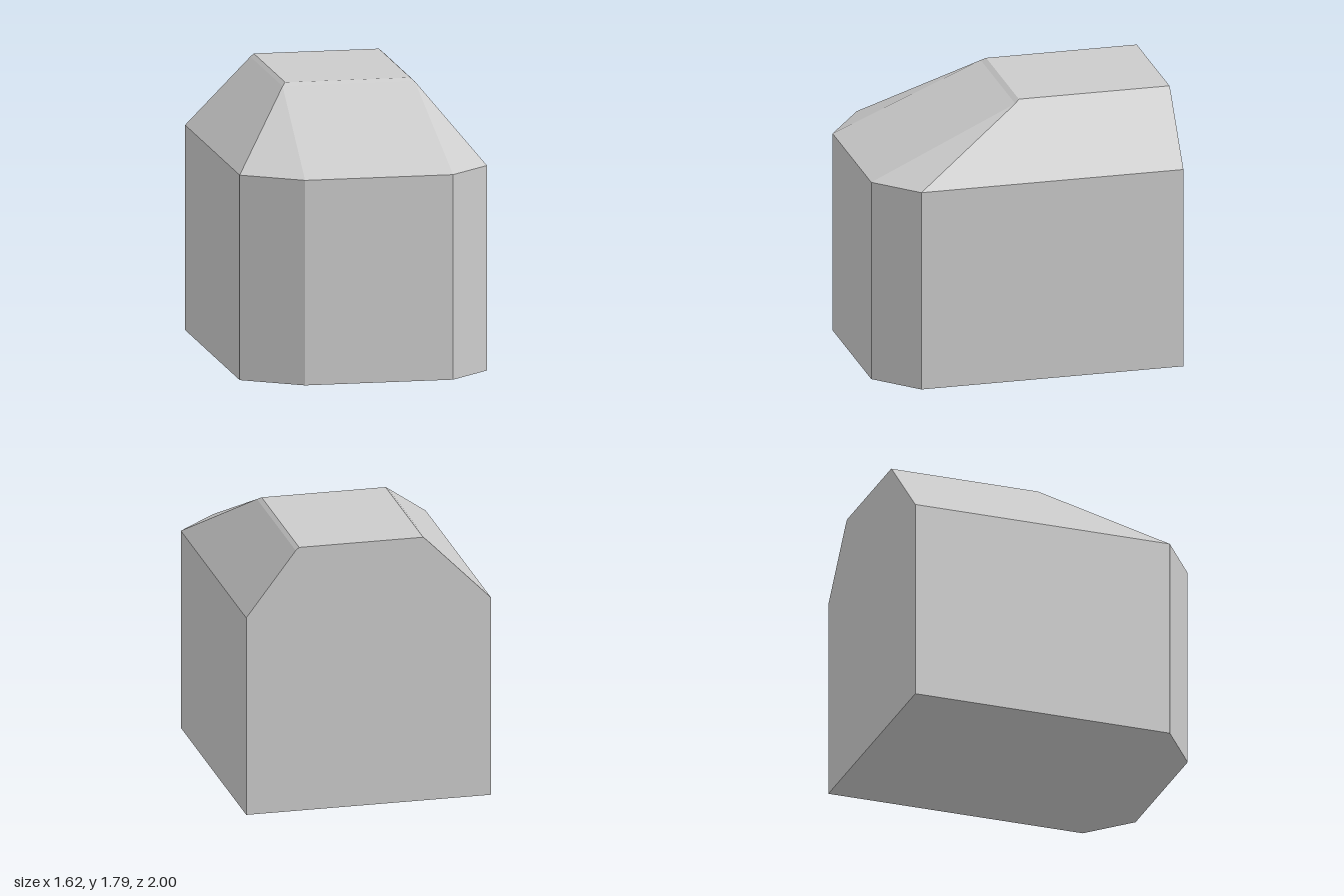
import * as THREE from 'three';

// Horizontal cross-sections, ordered back -x, around the front, to back +x
const plan = [[-0.81, -1], [-0.81, 0.74], [-0.435, 1], [0.535, 1], [0.81, 0.74], [0.81, -1]];
const ring = (pts, y) => pts.map(([x, z]) => new THREE.Vector3(x, y, z));
const ridgePlan = (x0, x1, z) => [[x0, -1], [x0, z], [x0, z], [x1, z], [x1, z], [x1, -1]];

const base = ring(plan, 0);
const eaves = ring(plan, 1.34);
const ridgeEdge = ring(ridgePlan(-0.383, 0.483, 0.03), 1.77);
const ridge = ring(ridgePlan(-0.36, 0.46, 0), 1.79);

// Flat polygons, each split into a fan, zero-area triangles dropped
function facets(polygons) {
  const pos = [];
  const tri = new THREE.Triangle();
  for (const p of polygons) {
    for (let i = 1; i < p.length - 1; i++) {
      tri.set(p[0], p[i], p[i + 1]);
      if (tri.getArea() < 1e-6) continue;
      for (const v of [tri.a, tri.b, tri.c]) pos.push(v.x, v.y, v.z);
    }
  }
  const geometry = new THREE.BufferGeometry();
  geometry.setAttribute('position', new THREE.Float32BufferAttribute(pos, 3));
  geometry.computeVertexNormals();
  return geometry;
}

// Quads joining two rings, including the back side
const loft = (low, high) => low.map((p, i) => {
  const j = (i + 1) % low.length;
  return [p, low[j], high[j], high[i]];
});

export function createModel() {
  const group = new THREE.Group();
  group.name = 'building';
  const material = new THREE.MeshStandardMaterial({ color: 0xcccccc, flatShading: true });
  const add = (name, polygons) => {
    const mesh = new THREE.Mesh(facets(polygons), material);
    mesh.name = name;
    group.add(mesh);
  };

  add('floor', [[...base].reverse()]);
  add('walls', loft(base, eaves));
  // Hipped slopes at the front and sides, upright gable at the back
  add('roofSlopes', loft(eaves, ridgeEdge));
  // Narrow bevel around the flat top
  add('roofBevel', loft(ridgeEdge, ridge));
  add('roofTop', [ridge]);
  return group;
}
